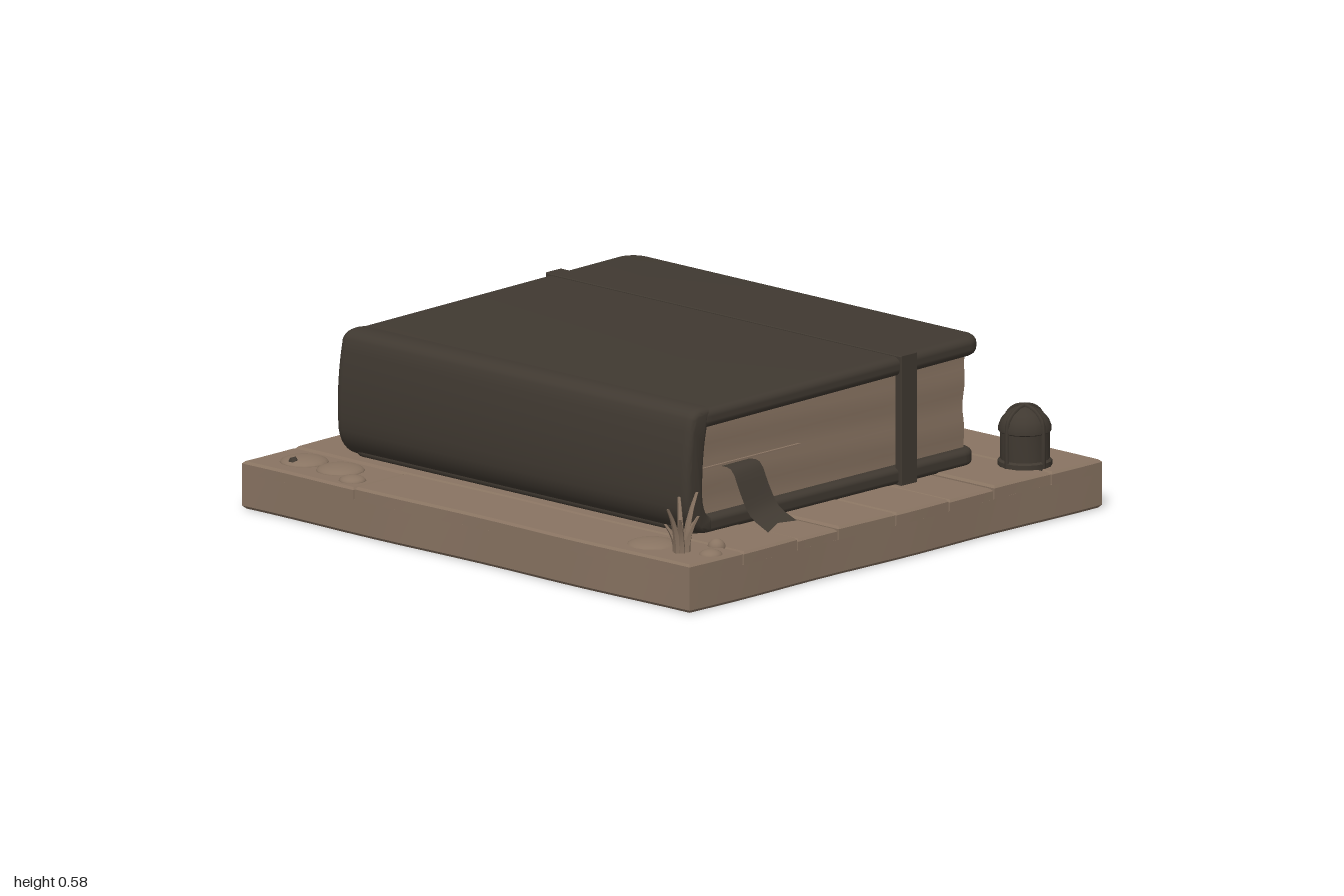
import * as THREE from 'three';
import { toCreasedNormals } from 'three/addons/utils/BufferGeometryUtils.js';

export function createModel() {
  const model = new THREE.Group();
  const brown = new THREE.MeshStandardMaterial({ color: 0x897462 });
  brown.name = 'weathered brown';
  const dark = new THREE.MeshStandardMaterial({ color: 0x403931, side: THREE.DoubleSide });
  dark.name = 'dark leather';

  const add = (name, geo, mat, parent = model) => {
    const mesh = new THREE.Mesh(geo, mat);
    mesh.name = name;
    parent.add(mesh);
    return mesh;
  };
  const group = (name) => {
    const g = new THREE.Group();
    g.name = name;
    model.add(g);
    return g;
  };
  const deform = (geo, rule) => {
    const p = geo.attributes.position, v = new THREE.Vector3();
    for (let i = 0; i < p.count; i++) {
      rule(v.fromBufferAttribute(p, i));
      p.setXYZ(i, v.x, v.y, v.z);
    }
    return toCreasedNormals(geo, 0.5);
  };

  // Uneven outline shared by the slab and its planks
  const warp = (v) => {
    const x = v.x, z = v.z;
    v.x += 0.004 * x * Math.sin(7 * z + 2 * x);
    v.z += 0.004 * z * Math.sin(8 * x + z);
  };

  // Box between two corners, chamfered along its top or bottom edges
  const chamferBox = (x0, x1, y0, y1, z0, z1, c, top) => {
    const geo = new THREE.BoxGeometry(x1 - x0, y1 - y0, z1 - z0,
      Math.ceil((x1 - x0) / 0.12), 2, Math.ceil((z1 - z0) / 0.12));
    geo.translate((x0 + x1) / 2, (y0 + y1) / 2, (z0 + z1) / 2);
    const mid = (y0 + y1) / 2, e = 1e-4;
    return deform(geo, (v) => {
      if (Math.abs(v.y - mid) < e) v.y = top ? y1 - c : y0 + c;
      else if ((v.y > mid) === top) {
        v.x = Math.min(Math.max(v.x, x0 + c), x1 - c);
        v.z = Math.min(Math.max(v.z, z0 + c), z1 - c);
      }
      warp(v);
    });
  };

  // Plank base on a slab with a dark underside
  const base = group('base');
  add('slab', chamferBox(-0.955, 0.955, 0, 0.118, -0.992, 0.992, 0.01, false),
    [brown, brown, brown, dark, brown, brown], base);
  const edges = [-0.955, -0.71, -0.45, -0.26, 0, 0.25, 0.46, 0.72, 0.955];
  const cuts = { 0: [-0.992, -0.49, 0.992], 7: [-0.992, -0.49, -0.04, 0.992] };
  for (let i = 0; i < 8; i++) {
    const zs = cuts[i] || [-0.992, 0.992];
    for (let j = 0; j + 1 < zs.length; j++) {
      const x0 = edges[i] + (i ? 0.003 : 0), x1 = edges[i + 1] - (i < 7 ? 0.003 : 0);
      const z0 = zs[j] + (j ? 0.003 : 0), z1 = zs[j + 1] - (j + 2 < zs.length ? 0.003 : 0);
      const h = 0.157 + 0.004 * Math.sin(i * 2.3 + j * 1.7);
      add('plank', chamferBox(x0, x1, 0.116, h, z0, z1, 0.008, true), brown, base);
    }
  }

  // Rounded cobbles set in the corners: x, z, radius, height
  const stones = group('cobbles');
  for (const [x, z, r, h] of [[-0.82, -0.84, 0.08, 0.022], [-0.82, -0.68, 0.08, 0.022],
    [-0.89, -0.56, 0.045, 0.02], [0.83, -0.84, 0.08, 0.022], [0.82, -0.68, 0.07, 0.022],
    [-0.83, 0.71, 0.085, 0.022], [-0.8, 0.94, 0.04, 0.022], [-0.71, 0.88, 0.03, 0.03]]) {
    const s = add('cobble', new THREE.SphereGeometry(1, 16, 6, 0, Math.PI * 2, 0, Math.PI / 2), brown, stones);
    s.scale.set(r, h, r);
    s.position.set(x, 0.155, z);
  }
  const pebble = add('pebble', new THREE.IcosahedronGeometry(0.018, 0), dark, stones);
  pebble.position.set(-0.87, 0.166, -0.84);

  // Book boards
  const book = group('book');
  const board = (w, d, h, bevel) => {
    const r = 0.05, a = w / 2 - bevel, b = d / 2 - bevel;
    const s = new THREE.Shape();
    s.absarc(a - r, b - r, r, 0, Math.PI / 2);
    s.absarc(r - a, b - r, r, Math.PI / 2, Math.PI);
    s.absarc(r - a, r - b, r, Math.PI, Math.PI * 1.5);
    s.absarc(a - r, r - b, r, Math.PI * 1.5, Math.PI * 2);
    const geo = new THREE.ExtrudeGeometry(s, { depth: h - 2 * bevel, bevelSize: bevel,
      bevelThickness: bevel, bevelSegments: 4, curveSegments: 6 });
    return toCreasedNormals(geo.center().rotateX(-Math.PI / 2), 0.6);
  };
  const topCover = add('topCover', board(1.345, 1.565, 0.062, 0.024), dark, book);
  topCover.position.set(0.007, 0.542, -0.037);
  topCover.rotation.z = 0.01;
  add('bottomCover', board(1.32, 1.54, 0.055, 0.018), dark, book).position.set(0, 0.182, -0.03);

  // Bulging spine
  const sp = new THREE.Shape();
  sp.moveTo(-0.6, 0.56);
  sp.quadraticCurveTo(-0.655, 0.565, -0.668, 0.54);
  sp.quadraticCurveTo(-0.7, 0.4, -0.688, 0.25);
  sp.quadraticCurveTo(-0.67, 0.165, -0.59, 0.165);
  sp.lineTo(-0.59, 0.2);
  sp.quadraticCurveTo(-0.62, 0.21, -0.63, 0.27);
  sp.quadraticCurveTo(-0.635, 0.4, -0.61, 0.51);
  sp.closePath();
  const spine = new THREE.ExtrudeGeometry(sp, { depth: 1.5, bevelSize: 0.02, bevelOffset: -0.008,
    bevelThickness: 0.03, bevelSegments: 4, curveSegments: 8 });
  add('spine', toCreasedNormals(spine.translate(0, 0, -0.787), 0.6), dark, book);

  // Page block with a slightly hollow, wavy fore edge
  const pages = new THREE.BoxGeometry(1.27, 0.335, 1.46, 10, 12, 12).translate(-0.005, 0.358, -0.03);
  add('pages', deform(pages, (v) => {
    const wave = 0.002 * Math.sin(v.y * 42 + v.x * 2 + v.z * 2);
    if (v.x > 0.62) v.x += wave - 0.008 * Math.sin((v.y - 0.19) / 0.335 * Math.PI) + 0.02 * (v.y - 0.36);
    if (v.z > 0.69) v.z += wave;
    if (v.z < -0.75) v.z += wave;
  }), brown, book);
  for (const z of [0.701, -0.761]) {
    add('loosePage', new THREE.BoxGeometry(0.46, 0.005, 0.014), brown, book).position.set(-0.37, 0.362, z);
  }

  // Thin strap around the closed book
  const rect = (P, z0, z1, y0, y1) => {
    const s = new P();
    s.moveTo(z0, y0); s.lineTo(z1, y0); s.lineTo(z1, y1); s.lineTo(z0, y1);
    s.closePath();
    return s;
  };
  const loop = rect(THREE.Shape, -0.822, 0.749, 0.153, 0.578);
  loop.holes.push(rect(THREE.Path, -0.8, 0.725, 0.17, 0.56));
  const strap = new THREE.ExtrudeGeometry(loop, { depth: 0.07, bevelSize: 0.003,
    bevelThickness: 0.003, bevelSegments: 1 });
  add('strap', strap.rotateY(-Math.PI / 2).translate(0.354, 0, 0), dark, book);

  // Bookmark ribbons with notched ends
  const ribbon = (name, pts) => {
    const curve = new THREE.CatmullRomCurve3(pts.map(([x, y, z]) => new THREE.Vector3(x, y, z)));
    const geo = new THREE.PlaneGeometry(2, 1, 2, 12);
    const p = geo.attributes.position;
    for (let i = 0; i < p.count; i++) {
      const side = p.getX(i), t = 0.5 - p.getY(i);
      const c = curve.getPoint(t > 0.99 && side === 0 ? 0.94 : t);
      p.setXYZ(i, c.x + side * 0.066, c.y + side * 0.008 * t, c.z);
    }
    geo.computeVertexNormals();
    add(name, geo, dark, book);
  };
  ribbon('frontBookmark', [[-0.435, 0.355, 0.69], [-0.43, 0.35, 0.74], [-0.425, 0.28, 0.775],
    [-0.415, 0.21, 0.81], [-0.415, 0.172, 0.89]]);
  // The back one runs mirrored so that its face still points outwards
  ribbon('backBookmark', [[-0.43, 0.365, -0.75], [-0.43, 0.35, -0.81], [-0.42, 0.29, -0.85],
    [-0.415, 0.245, -0.885], [-0.415, 0.182, -0.965]]);

  // Small domed lantern
  const lantern = group('lantern');
  lantern.position.set(0.74, 0.15, 0.86);
  const profile = [[0, 0], [0.088, 0], [0.088, 0.026], [0.08, 0.032], [0.08, 0.12], [0.086, 0.124],
    [0.086, 0.138], [0.077, 0.162], [0.058, 0.184], [0.03, 0.199], [0, 0.205]];
  const body = new THREE.LatheGeometry(profile.map(([x, y]) => new THREE.Vector2(x, y)), 16);
  add('lanternBody', toCreasedNormals(body, 0.6), dark, lantern);
  const ribCurve = new THREE.CatmullRomCurve3([[0.082, 0.01], [0.082, 0.125], [0.077, 0.162],
    [0.058, 0.184], [0.03, 0.2], [0, 0.206]].map(([x, y]) => new THREE.Vector3(x, y, 0)));
  for (let i = 0; i < 4; i++) {
    const rib = add('lanternRib', new THREE.TubeGeometry(ribCurve, 14, 0.008, 6), dark, lantern);
    rib.rotation.y = i * Math.PI / 2;
  }

  // Grass tuft: lean x, lean z, height
  const grass = group('grass');
  grass.position.set(-0.84, 0.15, 0.85);
  for (const [lx, lz, h] of [[-0.075, 0.01, 0.165], [-0.035, -0.04, 0.1], [0.025, -0.035, 0.18],
    [0.065, 0.005, 0.195], [0.03, 0.045, 0.13], [-0.045, 0.035, 0.13], [0.07, -0.02, 0.09]]) {
    const blade = new THREE.CylinderGeometry(0.005, 0.016, h, 5, 4).translate(0, h / 2, 0);
    add('blade', deform(blade, (v) => {
      const t = v.y / h;
      v.x += lx * (0.25 + 0.75 * t * t);
      v.z += lz * (0.25 + 0.75 * t * t);
    }), brown, grass);
  }
  return model;
}
